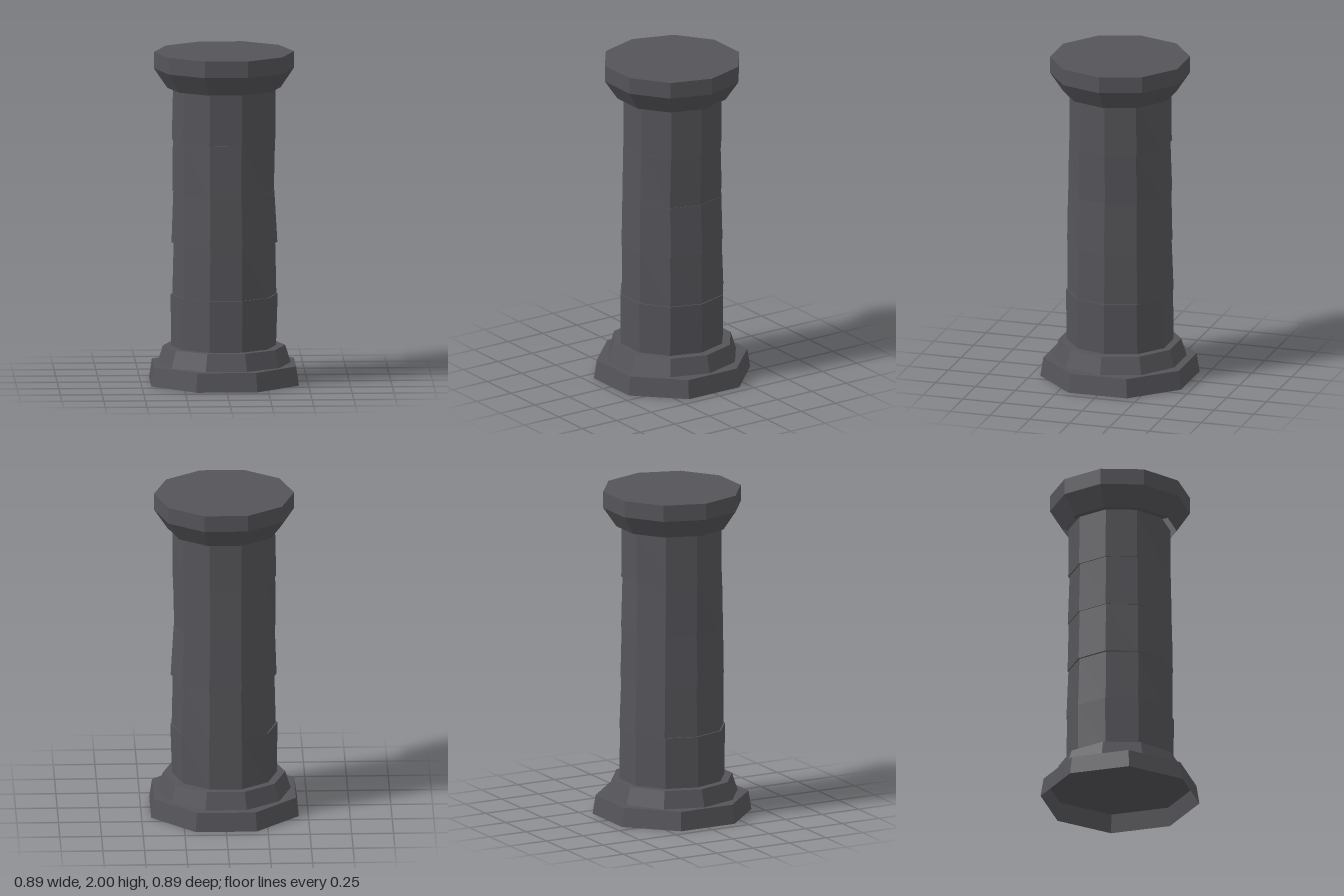
import * as THREE from 'three';

export function createModel() {
  const group = new THREE.Group();
  group.name = 'stoneColumn';
  const stone = new THREE.MeshStandardMaterial({ color: 0x555459, flatShading: true, side: THREE.DoubleSide });
  stone.name = 'darkStone';

  // Faceted block from [radius, y] points, bottom to top.
  // Ten-sided blocks have a corner on +x, eight-sided ones a flat face.
  function block(name, sides, profile) {
    const points = profile.map(([r, y]) => new THREE.Vector2(r, y));
    const start = sides === 8 ? Math.PI / 8 : Math.PI / 2;
    const geo = new THREE.LatheGeometry(points, sides, start).toNonIndexed();
    geo.computeVertexNormals();
    const mesh = new THREE.Mesh(geo, stone);
    mesh.name = name;
    group.add(mesh);
    return mesh;
  }

  // Stepped base, hollow underneath
  block('plinth', 8, [[0.479, 0], [0.461, 0.115], [0, 0.115]]);
  block('baseStep', 10, [[0.4, 0.115], [0.367, 0.22], [0, 0.22]]);

  // Shaft drums: worn, uneven extents [left -x, right +x, back -z, front +z] at bottom and top
  const drums = [
    [[0.318, 0.312, 0.306, 0.305], [0.32, 0.322, 0.302, 0.308]],
    [[0.31, 0.314, 0.307, 0.3], [0.302, 0.307, 0.295, 0.301]],
    [[0.315, 0.32, 0.299, 0.301], [0.304, 0.302, 0.293, 0.297]],
    [[0.309, 0.299, 0.298, 0.296], [0.307, 0.306, 0.287, 0.29]],
    [[0.313, 0.309, 0.295, 0.287], [0.306, 0.31, 0.292, 0.287]],
  ];
  const y0 = 0.22, height = 0.3125;
  drums.forEach(([bottom, top], i) => {
    const low = y0 + i * height, high = low + height;
    const drum = block('shaftDrum' + (i + 1), 10, [[0, low], [1, low], [1, high], [0, high]]);
    const p = drum.geometry.attributes.position;
    for (let v = 0; v < p.count; v++) {
      const [left, right, back, front] = p.getY(v) < (low + high) / 2 ? bottom : top;
      const x = p.getX(v), z = p.getZ(v);
      p.setX(v, x * (x < 0 ? left : right));
      p.setZ(v, z * (z < 0 ? back : front) / Math.sin(Math.PI * 0.4));
    }
    drum.geometry.computeVertexNormals();
  });

  // Flared capital with a flat slab, hollow underneath
  block('capital', 10, [[0.34, 1.782], [0.42, 1.9], [0.42, 2], [0, 2]]);

  return group;
}
